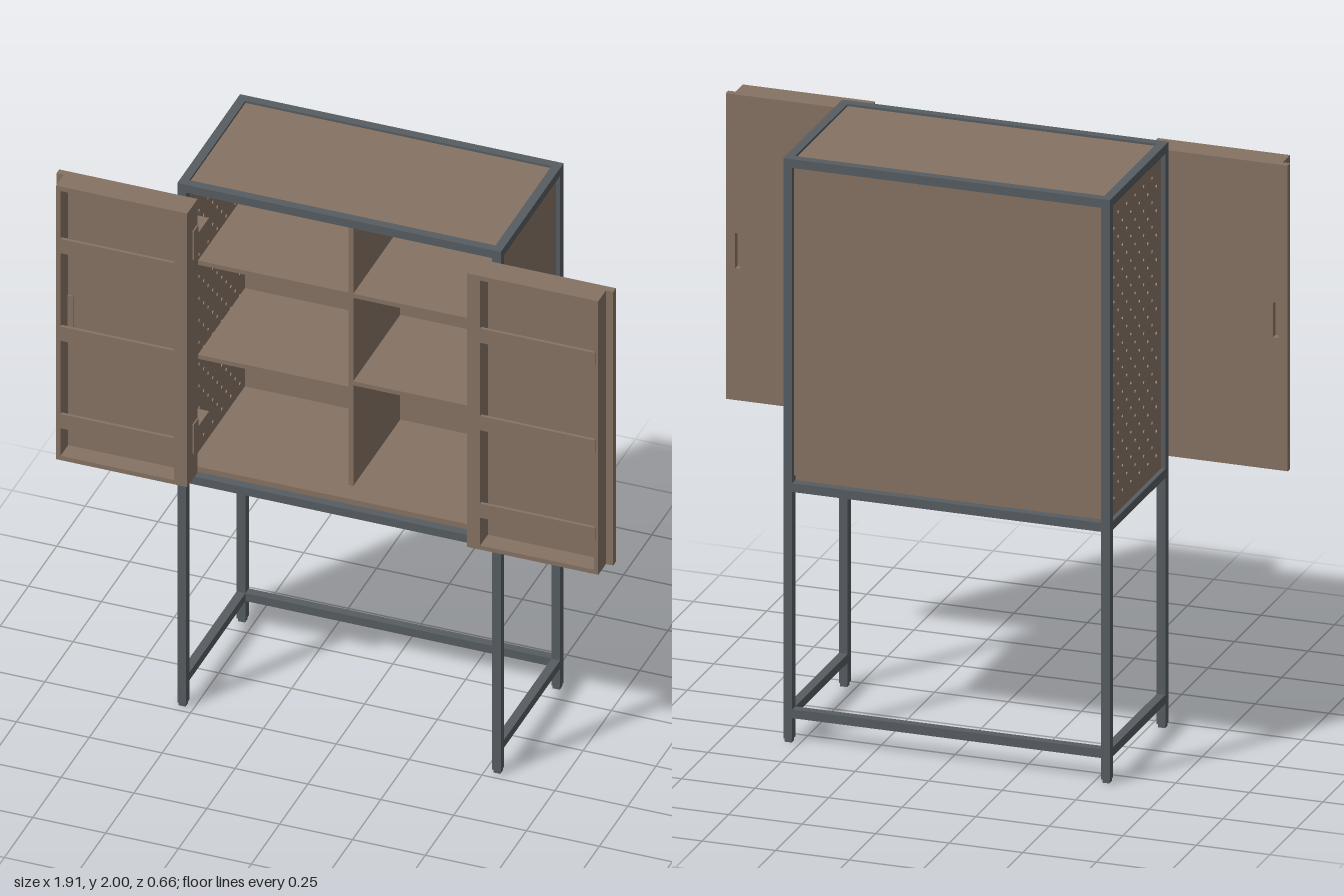
import * as THREE from 'three';

const wood = new THREE.MeshStandardMaterial({ color: 0x857263 });
wood.name = 'brown board';
const metal = new THREE.MeshStandardMaterial({ color: 0x565c61 });
metal.name = 'grey steel';

// Box given by its extents on each axis
function box(parent, name, mat, [x0, x1], [y0, y1], [z0, z1]) {
  const mesh = new THREE.Mesh(new THREE.BoxGeometry(Math.abs(x1 - x0), y1 - y0, z1 - z0), mat);
  mesh.position.set((x0 + x1) / 2, (y0 + y1) / 2, (z0 + z1) / 2);
  mesh.name = name;
  parent.add(mesh);
  return mesh;
}

function rect(target, x0, x1, y0, y1) {
  target.moveTo(x0, y0);
  target.lineTo(x1, y0);
  target.lineTo(x1, y1);
  target.lineTo(x0, y1);
  target.closePath();
  return target;
}

const X = 0.555, T = 0.03, FRONT = 0.225, BACK = -0.33;

function createFrame() {
  const g = new THREE.Group();
  g.name = 'steelFrame';
  const inX = [-X + T, X - T], inZ = [BACK + T, FRONT - T];
  const frontZ = [FRONT - T, FRONT], backZ = [BACK, BACK + T];
  for (const s of [-1, 1]) {
    for (const z of [frontZ, backZ]) {
      box(g, 'leg', metal, [s * (X - T), s * X], [0.012, 2], z);
      box(g, 'foot', metal, [s * (X - T + 0.003), s * (X - 0.003)], [0, 0.012], [z[0] + 0.003, z[1] - 0.003]);
    }
    for (const y of [0.085, 0.86, 1.97]) box(g, 'sideRail', metal, [s * (X - T), s * X], [y, y + T], inZ);
  }
  for (const y of [0.86, 1.97]) box(g, 'frontRail', metal, inX, [y, y + T], frontZ);
  for (const y of [0.085, 0.86, 1.97]) box(g, 'backRail', metal, inX, [y, y + T], backZ);
  return g;
}

// Side wall with staggered rows of peg holes
function createPegWall() {
  const s = rect(new THREE.Shape(), -0.195, 0.3, 0.89, 1.97);
  for (let row = 0; row < 24; row++) {
    for (let i = 0; i < 6; i++) {
      const u = -0.15 + i * 0.08 + (row % 2) * 0.04;
      if (u > 0.27) continue;
      const hole = new THREE.Path();
      hole.absarc(u, 0.95 + row * 0.042, 0.007, 0, Math.PI * 2, true);
      s.holes.push(hole);
    }
  }
  const geo = new THREE.ExtrudeGeometry(s, { depth: 0.015, bevelEnabled: false, curveSegments: 4 });
  geo.rotateY(Math.PI / 2);
  const mesh = new THREE.Mesh(geo, wood);
  mesh.position.x = -0.54;
  mesh.name = 'perforatedSide';
  return mesh;
}

function createCabinet() {
  const g = new THREE.Group();
  g.name = 'cabinet';
  box(g, 'topPanel', wood, [-0.525, 0.525], [1.968, 1.992], [-0.3, 0.195]);
  box(g, 'floorPanel', wood, [-0.525, 0.525], [0.872, 0.91], [-0.3, 0.195]);
  box(g, 'backPanel', wood, [-0.525, 0.525], [0.91, 1.968], [-0.312, -0.295]);
  box(g, 'plainSide', wood, [0.525, 0.54], [0.89, 1.97], [-0.3, 0.195]);
  g.add(createPegWall());
  // Inner shelves stand back to leave room for the closed door trays
  const depth = [-0.295, 0.12];
  box(g, 'divider', wood, [-0.008, 0.008], [0.91, 1.968], depth);
  for (const y of [1.27, 1.63]) box(g, 'leftShelf', wood, [-0.525, -0.008], [y, y + 0.016], depth);
  for (const y of [1.295, 1.63]) box(g, 'rightShelf', wood, [0.008, 0.525], [y, y + 0.016], depth);
  return g;
}

// Open door with a shallow tray of shelves on its inner face
function createDoor(s) {
  const g = new THREE.Group();
  g.name = s > 0 ? 'leftDoor' : 'rightDoor';
  const Y0 = 0.918, Y1 = 1.965, tray = [0.262, 0.33];
  const b = (name, x, y, z) => box(g, name, wood, x.map(v => v * s), y, z);

  // Slab with a finger slot near the free edge
  const xs = [0.48 * s, 0.955 * s].sort((a, c) => a - c);
  const slot = [0.905 * s, 0.923 * s].sort((a, c) => a - c);
  const shape = rect(new THREE.Shape(), xs[0], xs[1], Y0, Y1);
  shape.holes.push(rect(new THREE.Path(), slot[0], slot[1], 1.37, 1.49));
  const slab = new THREE.Mesh(new THREE.ExtrudeGeometry(shape, { depth: 0.024, bevelEnabled: false }), wood);
  slab.position.z = 0.238;
  slab.name = 'doorSlab';
  g.add(slab);
  b('slotBacking', [0.895, 0.93], [1.35, 1.51], [0.262, 0.268]);

  b('hingeWall', [0.48, 0.525], [Y0, Y1], tray);
  b('outerWall', [0.915, 0.93], [Y0, Y1], tray);
  b('trayTop', [0.525, 0.915], [1.948, Y1], tray);
  b('trayBottom', [0.525, 0.915], [Y0, 0.934], tray);
  for (const y of [1.05, 1.385, 1.72]) {
    b('doorShelf', [0.525, 0.915], [y - 0.01, y], tray);
    b('shelfLip', [0.52, 0.92], [y, y + 0.045], [0.32, 0.331]);
  }
  // Hinges joining the door edge to the cabinet wall
  for (const y of [1.02, 1.76]) {
    b('hingePlate', [0.475, 0.48], [y, y + 0.11], [0.245, 0.285]);
    b('hingeArm', [0.475, 0.525], [y + 0.03, y + 0.08], [0.15, 0.245]);
  }
  return g;
}

export function createModel() {
  const model = new THREE.Group();
  model.name = 'cabinetOnStand';
  model.add(createFrame(), createCabinet(), createDoor(1), createDoor(-1));
  return model;
}
